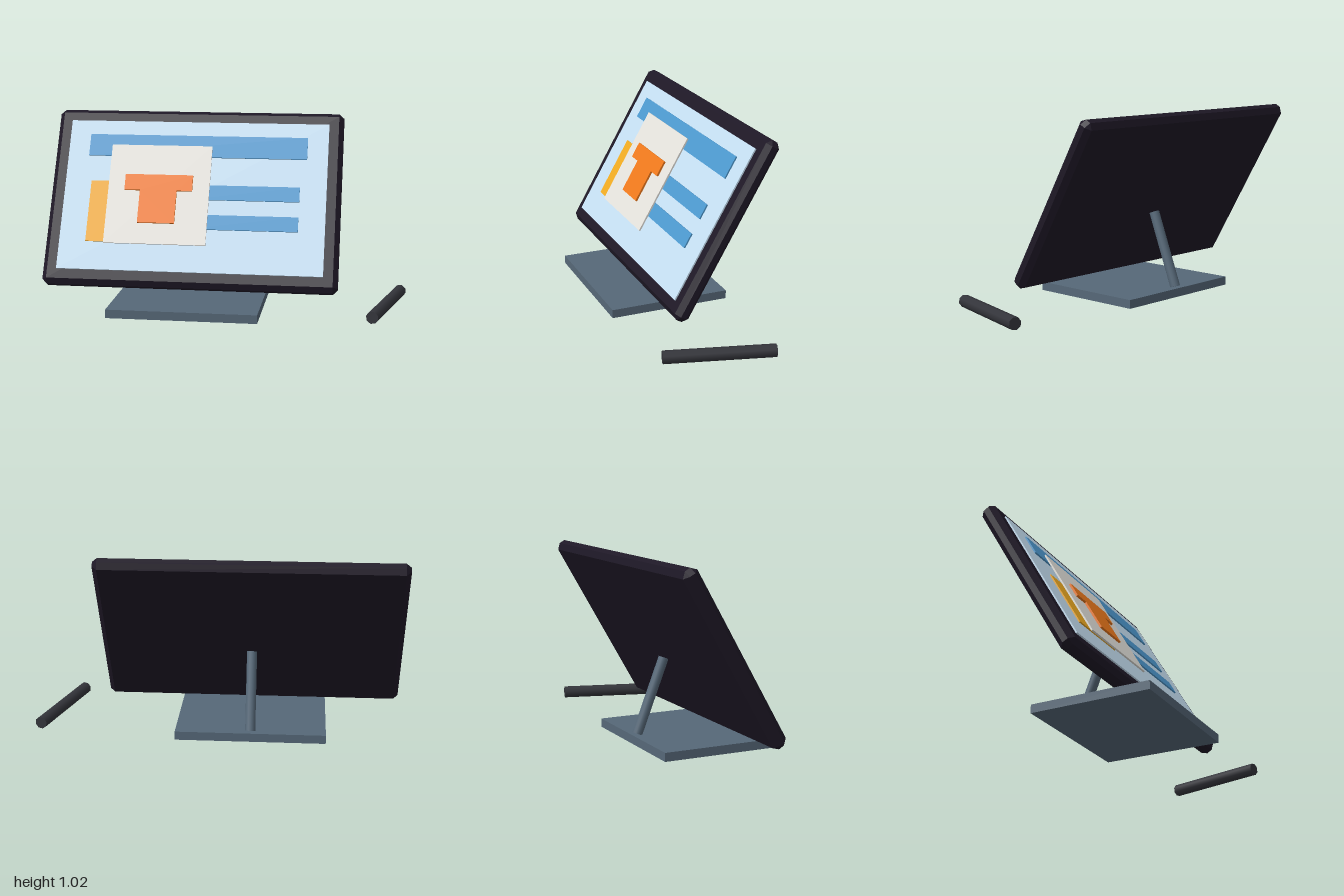
import * as THREE from 'three';
import { ConvexGeometry } from 'three/addons/geometries/ConvexGeometry.js';

const material = (color, flatShading = false) =>
  new THREE.MeshStandardMaterial({ color, flatShading });

function addMesh(parent, name, geometry, mat) {
  const mesh = new THREE.Mesh(geometry, mat);
  mesh.name = name;
  parent.add(mesh);
  return mesh;
}

// Box given by its extents on each axis
function addBox(parent, name, mat, [x0, x1], [y0, y1], [z0, z1]) {
  const mesh = addMesh(parent, name, new THREE.BoxGeometry(x1 - x0, y1 - y0, z1 - z0), mat);
  mesh.position.set((x0 + x1) / 2, (y0 + y1) / 2, (z0 + z1) / 2);
  return mesh;
}

// Straight cylinder between two points
function addRod(parent, name, mat, from, to, radius, sides) {
  const a = new THREE.Vector3(...from);
  const b = new THREE.Vector3(...to);
  const dir = b.clone().sub(a);
  const mesh = addMesh(parent, name,
    new THREE.CylinderGeometry(radius, radius, dir.length(), sides), mat);
  mesh.position.copy(a).add(b).multiplyScalar(0.5);
  mesh.quaternion.setFromUnitVectors(new THREE.Vector3(0, 1, 0), dir.normalize());
  return mesh;
}

// Box with every edge cut by a single flat chamfer
function chamferedBox(w, h, d, c) {
  const points = [];
  for (const sx of [-1, 1]) for (const sy of [-1, 1]) for (const sz of [-1, 1]) {
    for (let full = 0; full < 3; full++) {
      const [x, y, z] = [w, h, d].map((size, i) => size / 2 - (i === full ? 0 : c));
      points.push(new THREE.Vector3(sx * x, sy * y, sz * z));
    }
  }
  return new ConvexGeometry(points);
}

export function createModel() {
  const model = new THREE.Group();
  model.name = 'tabletOnStand';
  const stand = material(0x566878);
  const blue = material(0x4d99cf);

  // Stand: flat base and leaning leg
  addBox(model, 'standBase', stand, [-0.595, 0.22], [0, 0.047], [-0.285, 0.385]);
  addRod(model, 'standLeg', stand, [-0.187, 0.05, -0.25], [-0.187, 0.45, -0.0945], 0.0275, 16);

  // Display leans back 30 degrees; y runs up its face, z out of it
  const display = new THREE.Group();
  display.name = 'display';
  display.rotation.x = -Math.PI / 6;
  model.add(display);

  const body = addMesh(display, 'displayCase',
    chamferedBox(1.63, 1.04, 0.086, 0.027), material(0x1e1826, true));
  body.position.set(-0.185, 0.537, 0.198);

  addBox(display, 'screen', material(0xc5dff2), [-0.92, 0.55], [0.098, 0.979], [0.236, 0.249]);

  // Layered panels on the screen
  addBox(display, 'headerBar', blue, [-0.8, 0.435], [0.765, 0.893], [0.245, 0.257]);
  addBox(display, 'upperTextBar', blue, [-0.2, 0.403], [0.515, 0.6], [0.245, 0.257]);
  addBox(display, 'lowerTextBar', blue, [-0.2, 0.403], [0.343, 0.427], [0.245, 0.257]);
  addBox(display, 'sidePanel', material(0xf0ab22), [-0.77, -0.4], [0.258, 0.613], [0.245, 0.256]);
  addBox(display, 'card', material(0xe4e2dc), [-0.667, -0.097], [0.248, 0.828], [0.257, 0.266]);

  // Shirt-shaped cutout on the card
  const outline = [
    [-0.485, 0.367], [-0.278, 0.367], [-0.278, 0.557], [-0.192, 0.557],
    [-0.192, 0.649], [-0.573, 0.649], [-0.573, 0.557], [-0.485, 0.557],
  ];
  const shirt = new THREE.Shape(outline.map(([x, y]) => new THREE.Vector2(x, y)));
  addMesh(display, 'shirtPanel',
    new THREE.ExtrudeGeometry(shirt, { depth: 0.012, bevelEnabled: false }),
    material(0xf07a1c)).position.z = 0.265;

  // Stylus lying beside the stand
  addRod(model, 'stylus', material(0x34353b), [0.818, 0.046, 0.345], [0.966, 0.046, -0.212], 0.034, 8);

  return model;
}
